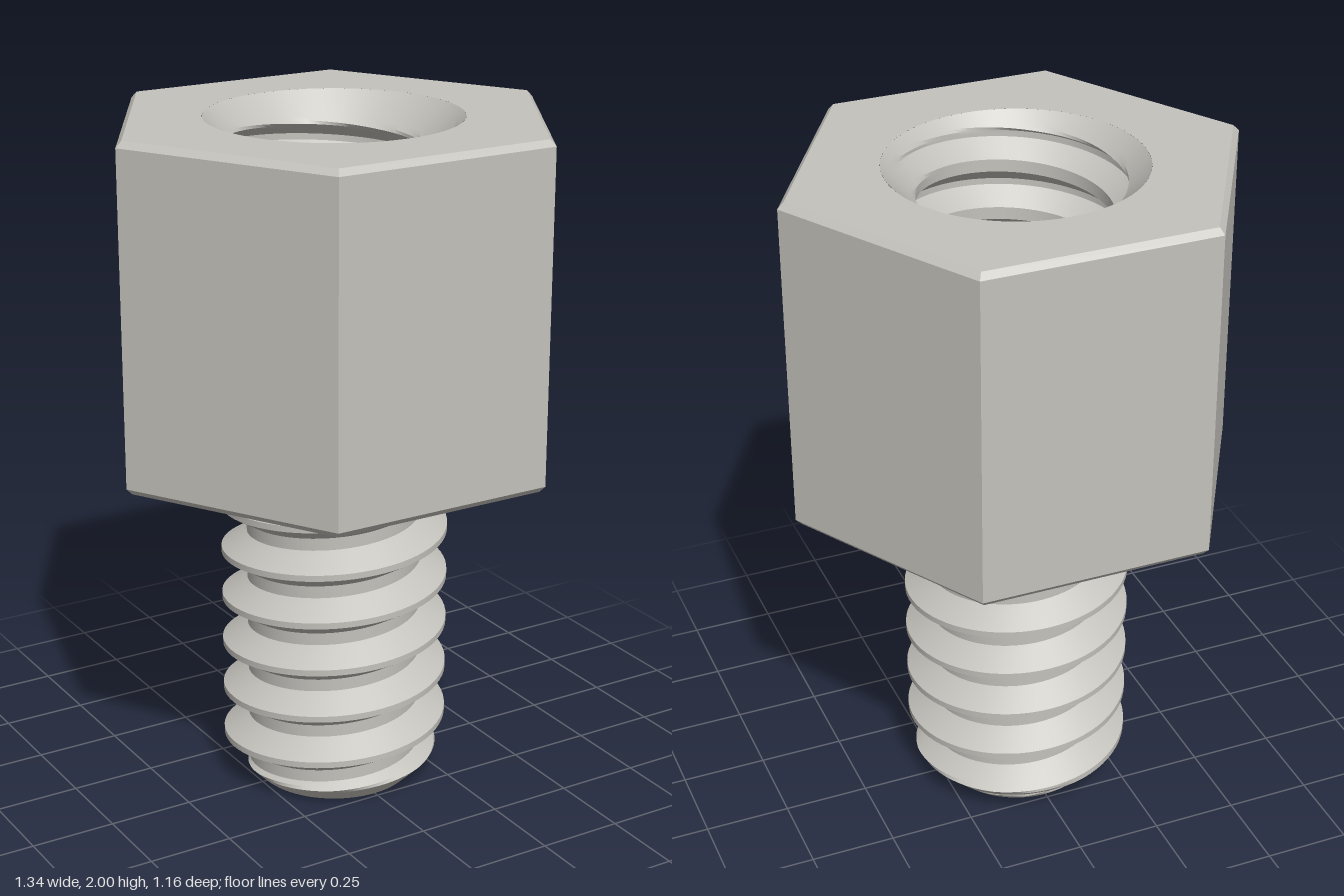
import * as THREE from 'three';
import { toCreasedNormals } from 'three/addons/utils/BufferGeometryUtils.js';

const PITCH = 0.147, ROWS = 16, SEGS = 72;
const HEX_BOTTOM = 1.005, TOP = 2, CORNER = 0.67, BEVEL = 0.018;
const HOLE_R = 0.365, HOLE_FLOOR = 1.2;

// Thread profile: flat crest (1/8 pitch), straight flanks, flat root (1/4 pitch)
function threadRadius(phase, root, crest) {
  const d = Math.abs(phase - Math.round(phase));
  return THREE.MathUtils.lerp(crest, root, THREE.MathUtils.clamp((d - 1 / 16) / (5 / 16), 0, 1));
}

// Right-handed helical wall whose rows follow the thread; limit() trims its radius by height
function threadGeometry({ y0, y1, crestY, root, crest, limit, inward }) {
  const pos = [], index = [];
  const first = Math.floor((y0 - crestY) / PITCH - 1) * ROWS;
  const last = Math.ceil((y1 - crestY) / PITCH) * ROWS;
  const n = SEGS + 1;
  for (let j = first; j <= last; j++) {
    for (let i = 0; i <= SEGS; i++) {
      const turn = i / SEGS, t = turn * Math.PI * 2;
      const y = THREE.MathUtils.clamp(crestY + (j / ROWS + turn) * PITCH, y0, y1);
      const r = limit(threadRadius((y - crestY) / PITCH - turn, root, crest), y);
      pos.push(r * Math.cos(t), y, -r * Math.sin(t));
    }
  }
  const tri = (a, b, c) => (inward ? index.push(a, c, b) : index.push(a, b, c));
  for (let j = 0; j < last - first; j++) {
    for (let i = 0; i < SEGS; i++) {
      const a = j * n + i, b = a + 1, c = b + n, d = a + n;
      const ys = [a, b, c, d].map((k) => pos[k * 3 + 1]);
      if (Math.max(...ys) - Math.min(...ys) < 1e-6) continue;
      tri(a, b, c);
      tri(a, c, d);
    }
  }
  const geo = new THREE.BufferGeometry();
  geo.setAttribute('position', new THREE.Float32BufferAttribute(pos, 3));
  geo.setIndex(index);
  // Enlarged while creasing so the fine rows stay distinct
  geo.scale(100, 100, 100);
  return toCreasedNormals(geo, 0.45).scale(0.01, 0.01, 0.01);
}

function hexShape(radius) {
  const points = [];
  for (let i = 0; i < 6; i++) {
    const a = (i * Math.PI) / 3;
    points.push(new THREE.Vector2(radius * Math.cos(a), radius * Math.sin(a)));
  }
  return new THREE.Shape(points);
}

export function createModel() {
  const group = new THREE.Group();
  const metal = new THREE.MeshStandardMaterial({ color: 0xc4c2bc });
  metal.name = 'pale metal';
  const add = (name, geo, parent = group) => {
    const mesh = new THREE.Mesh(geo, metal);
    mesh.name = name;
    parent.add(mesh);
    return mesh;
  };

  // Hexagonal head: bevelled sides plus top and bottom faces
  const head = new THREE.Group();
  head.name = 'hexHead';
  group.add(head);
  const profile = [
    [CORNER - BEVEL, HEX_BOTTOM], [CORNER, HEX_BOTTOM + BEVEL],
    [CORNER, TOP - BEVEL], [CORNER - BEVEL, TOP],
  ].map(([x, y]) => new THREE.Vector2(x, y));
  const sides = new THREE.LatheGeometry(profile, 6, Math.PI / 2).toNonIndexed();
  sides.computeVertexNormals();
  add('headSides', sides, head);

  const topShape = hexShape(CORNER - BEVEL);
  topShape.holes.push(new THREE.Path().absarc(0, 0, HOLE_R, 0, Math.PI * 2, true));
  add('headTop', new THREE.ShapeGeometry(topShape, SEGS).rotateX(-Math.PI / 2).translate(0, TOP, 0), head);
  add('headUnderside',
    new THREE.ShapeGeometry(hexShape(CORNER - BEVEL)).rotateX(Math.PI / 2).translate(0, HEX_BOTTOM, 0), head);

  // Tapped hole with countersunk mouth and flat floor
  add('tappedHole', threadGeometry({
    y0: HOLE_FLOOR, y1: TOP, crestY: HOLE_FLOOR + 0.05, root: 0.272, crest: 0.33, inward: true,
    limit: (r, y) => Math.max(r, HOLE_R - (TOP - y)),
  }), head);
  add('holeFloor',
    new THREE.CircleGeometry(0.34, SEGS).rotateX(-Math.PI / 2).translate(0, HOLE_FLOOR, 0), head);

  // Threaded shank with a chamfered tip
  add('threadedShank', threadGeometry({
    y0: 0, y1: HEX_BOTTOM, crestY: 0.065, root: 0.257, crest: 0.332, inward: false,
    limit: (r, y) => Math.min(r, 0.235 + y),
  }));
  add('shankTip', new THREE.CircleGeometry(0.235, SEGS).rotateX(Math.PI / 2));

  return group;
}
